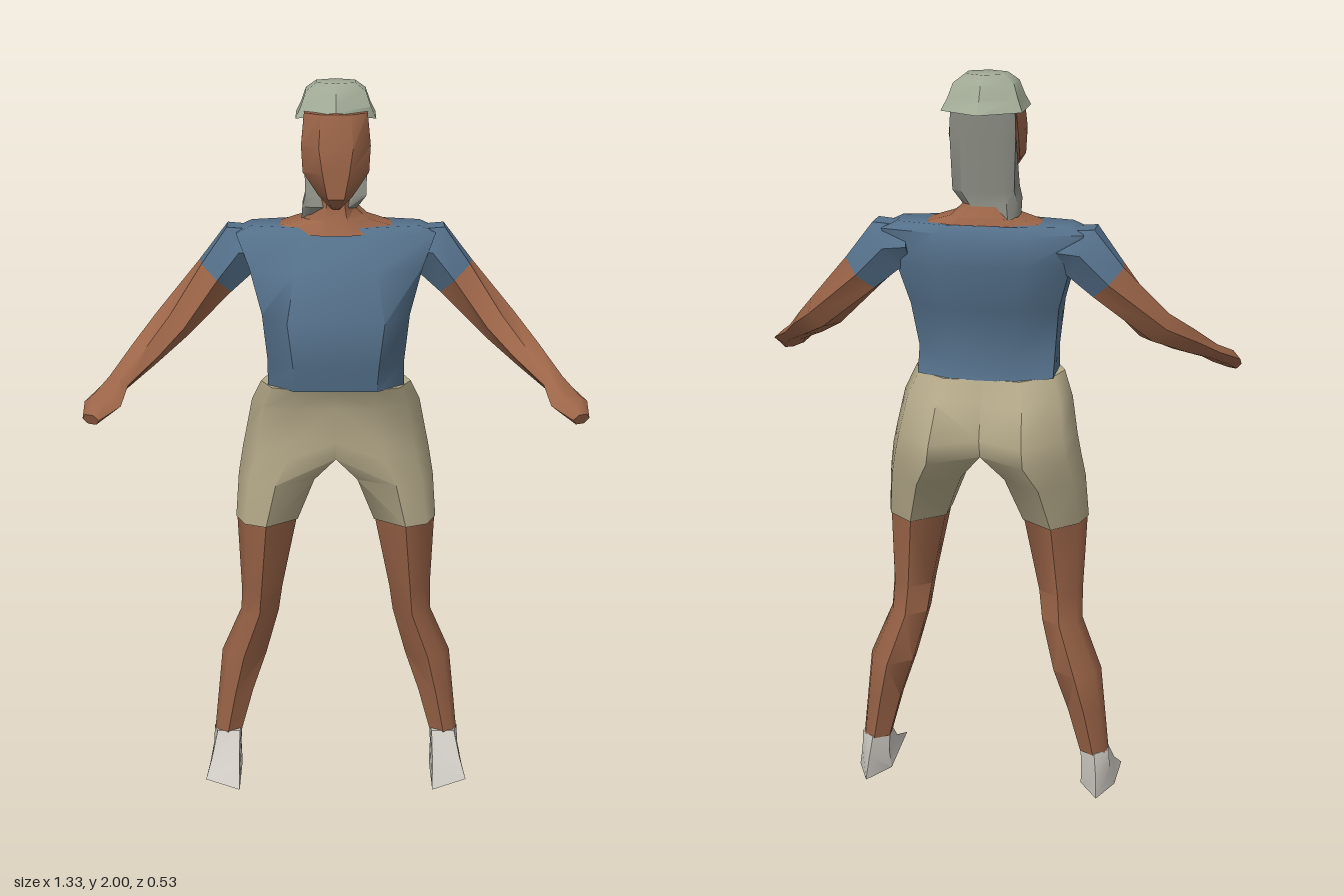
import * as THREE from 'three';
import { toCreasedNormals } from 'three/addons/utils/BufferGeometryUtils.js';

const V = (x, y, z) => new THREE.Vector3(x, y, z);
const paint = (name, color) => {
  const m = new THREE.MeshStandardMaterial({ color });
  m.name = name;
  return m;
};

// Closed loft through rings of equal length, always wound outwards
function loft(rings, crease = 0.75) {
  const n = rings[0].length;
  const pts = rings.flat();
  const faces = [];
  for (let r = 0; r < rings.length - 1; r++) {
    for (let i = 0; i < n; i++) {
      const a = r * n + i, b = r * n + (i + 1) % n;
      faces.push([a, b, b + n], [a, b + n, a + n]);
    }
  }
  // end caps fan around each ring's middle
  [0, rings.length - 1].forEach((r, end) => {
    const mid = rings[r].reduce((s, p) => s.add(p), V(0, 0, 0)).divideScalar(n);
    const c = pts.push(mid) - 1;
    for (let i = 0; i < n; i++) {
      const a = r * n + i, b = r * n + (i + 1) % n;
      faces.push(end ? [a, b, c] : [b, a, c]);
    }
  });
  const base = pts[0];
  let volume = 0;
  for (const [a, b, c] of faces) {
    const p = pts[a].clone().sub(base), q = pts[b].clone().sub(base), s = pts[c].clone().sub(base);
    volume += p.dot(q.cross(s));
  }
  if (volume < 0) faces.forEach((f) => f.reverse());
  const geo = new THREE.BufferGeometry().setFromPoints(pts);
  geo.setIndex(faces.flat());
  return toCreasedNormals(geo, crease);
}

// Eight-sided body ring, symmetric about x = cx
function bodyRing([y, w, fw, zf, zs, zt, bw, zb, cx = 0]) {
  return [[fw, zf], [w, zs], [w, zt], [bw, zb], [-bw, zb], [-w, zt], [-w, zs], [-fw, zf]]
    .map(([x, z]) => V(cx + x, y, z));
}

// Leg ring between inner and outer x; fi and bi pull the inner corners in
function legRing([y, xi, xo, zf, zb, fi, bi]) {
  const w = xo - xi, d = zf - zb;
  return [[xi, zf - d * fi], [xi + w * 0.5, zf], [xi + w * 0.85, zf - d * 0.12], [xo, zf - d * 0.42],
    [xi + w * 0.9, zb + d * 0.28], [xi + w * 0.5, zb], [xi, zb + d * bi]].map(([x, z]) => V(x, y, z));
}

// Arm ring square to its direction, with a horizontal and a vertical radius
function armRing([x, y, z, dx, dy, dz, rh, rv]) {
  const dir = V(dx, dy, dz).normalize();
  const side = V(0, 1, 0).cross(dir).normalize();
  const up = dir.clone().cross(side);
  return Array.from({ length: 6 }, (_, i) => {
    const a = (i * Math.PI) / 3;
    return V(x, y, z).addScaledVector(side, Math.cos(a) * rh).addScaledVector(up, Math.sin(a) * rv);
  });
}

// Six-cornered hat ring with points at front and back
function hatRing(y, w, zf, zb, lift = 0) {
  const c = (zf + zb) / 2, h = (zf - zb) / 4;
  return [V(0, y + lift, zf), V(w, y, c + h), V(w, y, c - h), V(0, y, zb), V(-w, y, c - h), V(-w, y, c + h)];
}

export function createModel() {
  const model = new THREE.Group();
  model.name = 'figure';
  const skin = paint('skin', 0x9c6548);
  const shirt = paint('shirt blue', 0x54708a);
  const shorts = paint('shorts khaki', 0xb3a888);
  const hat = paint('hat green', 0xa0a994);
  const hair = paint('hair grey', 0x888a81);
  const shoe = paint('shoe white', 0xcbc7c0);

  const add = (name, rings, material, crease) => {
    const mesh = new THREE.Mesh(loft(rings, crease), material);
    mesh.name = name;
    model.add(mesh);
  };
  const pair = (name, rings, material, crease) => {
    add('left' + name, rings, material, crease);
    add('right' + name, rings.map((r) => r.map((p) => V(-p.x, p.y, p.z))), material, crease);
  };

  // Torso
  add('shirtBody', [
    [1.19, 0.185, 0.11, 0.1, 0.03, -0.1, 0.09, -0.15],
    [1.26, 0.186, 0.115, 0.115, 0.02, -0.07, 0.09, -0.13],
    [1.385, 0.2, 0.13, 0.13, 0.02, -0.11, 0.1, -0.165],
    [1.51, 0.235, 0.11, 0.065, -0.01, -0.14, 0.12, -0.195],
    [1.595, 0.27, 0.09, 0.005, -0.04, -0.15, 0.12, -0.19],
    [1.615, 0.23, 0.06, -0.01, -0.05, -0.14, 0.1, -0.175],
  ].map(bodyRing), shirt, 0.9);

  // Neck, running out over the shoulders
  add('neck', [
    [1.6, 0.2, 0.04, 0.02, -0.06, -0.13, 0.09, -0.175],
    [1.635, 0.085, 0.03, 0.0, -0.05, -0.14, 0.06, -0.165],
    [1.67, 0.05, 0.025, -0.01, -0.04, -0.12, 0.03, -0.145],
    [1.76, 0.05, 0.025, 0.0, -0.04, -0.11, 0.03, -0.13],
  ].map(bodyRing), skin);

  // Face, narrowing to the chin
  add('face', [
    [1.672, 0.012, 0.008, 0.02, 0.01, -0.005, 0.01, -0.015],
    [1.71, 0.045, 0.022, 0.084, 0.03, -0.02, 0.03, -0.035],
    [1.775, 0.088, 0.035, 0.084, 0.03, -0.07, 0.05, -0.09],
    [1.845, 0.092, 0.045, 0.084, 0.03, -0.12, 0.06, -0.14],
    [1.93, 0.084, 0.04, 0.06, 0.02, -0.12, 0.05, -0.14],
  ].map(bodyRing), skin);

  // Long hair down the back of the head, swept to one side
  add('hair', [
    [1.6, 0.05, 0.03, -0.08, -0.1, -0.14, 0.03, -0.17, -0.045],
    [1.67, 0.075, 0.05, -0.02, -0.04, -0.12, 0.05, -0.147, -0.015],
    [1.7, 0.082, 0.05, -0.025, -0.035, -0.125, 0.055, -0.147],
    [1.845, 0.087, 0.05, -0.11, -0.13, -0.135, 0.055, -0.15],
    [1.93, 0.085, 0.05, -0.11, -0.125, -0.135, 0.055, -0.15],
  ].map(bodyRing), hair);

  // Hat: sloping brim with a lifted front, rounded crown
  add('hat', [
    hatRing(1.91, 0.107, 0.065, -0.225, 0.025),
    hatRing(1.94, 0.093, 0.035, -0.19, 0.012),
    hatRing(1.978, 0.08, 0.01, -0.165),
    hatRing(2.0, 0.052, -0.02, -0.13),
  ], hat, 0.8);

  // Shorts: two halves that meet on the centre line, then split into legs
  pair('ShortsHalf', [
    [1.192, 0, 0.205, 0.092, -0.155, 0, 0.04],
    [1.13, 0, 0.232, 0.062, -0.2, 0, 0.12],
    [1.035, 0, 0.25, 0.06, -0.262, 0, 0.2],
    [0.985, 0, 0.26, 0.06, -0.268, 0.02, 0.26],
    [0.91, 0.06, 0.272, 0.06, -0.225, 0.2, 0.3],
    [0.788, 0.107, 0.28, 0.057, -0.182, 0.3, 0.3],
  ].map(legRing), shorts, 0.9);

  // Bare legs
  pair('Leg', [
    [0.79, 0.11, 0.277, 0.053, -0.178, 0.3, 0.3],
    [0.58, 0.152, 0.268, 0.01, -0.146, 0.3, 0.3],
    [0.5, 0.163, 0.27, -0.012, -0.16, 0.3, 0.3],
    [0.36, 0.2, 0.328, -0.03, -0.19, 0.3, 0.3],
    [0.24, 0.24, 0.34, -0.047, -0.165, 0.3, 0.3],
    [0.11, 0.275, 0.353, -0.062, -0.146, 0.3, 0.3],
  ].map(legRing), skin, 0.9);

  // Shoes: ankle, instep and a sole with a pointed toe
  pair('Shoe', [
    [V(0.28, 0.115, -0.065), V(0.345, 0.115, -0.065), V(0.355, 0.115, -0.11), V(0.318, 0.115, -0.148), V(0.275, 0.115, -0.115)],
    [V(0.28, 0.055, 0.0), V(0.36, 0.05, -0.02), V(0.358, 0.06, -0.11), V(0.325, 0.06, -0.165), V(0.278, 0.06, -0.115)],
    [V(0.275, 0.012, 0.11), V(0.375, 0.008, 0.035), V(0.37, 0, -0.09), V(0.33, 0, -0.19), V(0.275, 0, -0.1)],
  ], shoe, 0.6);

  // Arms: each row is centre, direction, horizontal and vertical radius
  const cuff = [0.33, 1.468, -0.095, 0.7, -0.7, 0.08, 0.07, 0.065];
  pair('Sleeve', [
    [0.2, 1.55, -0.1, 1, -0.15, 0, 0.07, 0.06],
    [0.262, 1.545, -0.1, 0.85, -0.45, 0, 0.075, 0.083],
    cuff,
  ].map(armRing), shirt, 0.9);
  pair('Arm', [
    cuff,
    [0.45, 1.34, -0.055, 0.7, -0.65, 0.55, 0.06, 0.05],
    [0.52, 1.28, 0.04, 0.55, -0.45, 0.75, 0.05, 0.038],
    [0.585, 1.225, 0.135, 0.5, -0.4, 0.8, 0.037, 0.024],
    [0.617, 1.19, 0.21, 0.4, -0.4, 0.8, 0.056, 0.024],
    [0.645, 1.16, 0.255, 0.4, -0.4, 0.8, 0.025, 0.018],
  ].map(armRing), skin, 0.9);

  return model;
}
